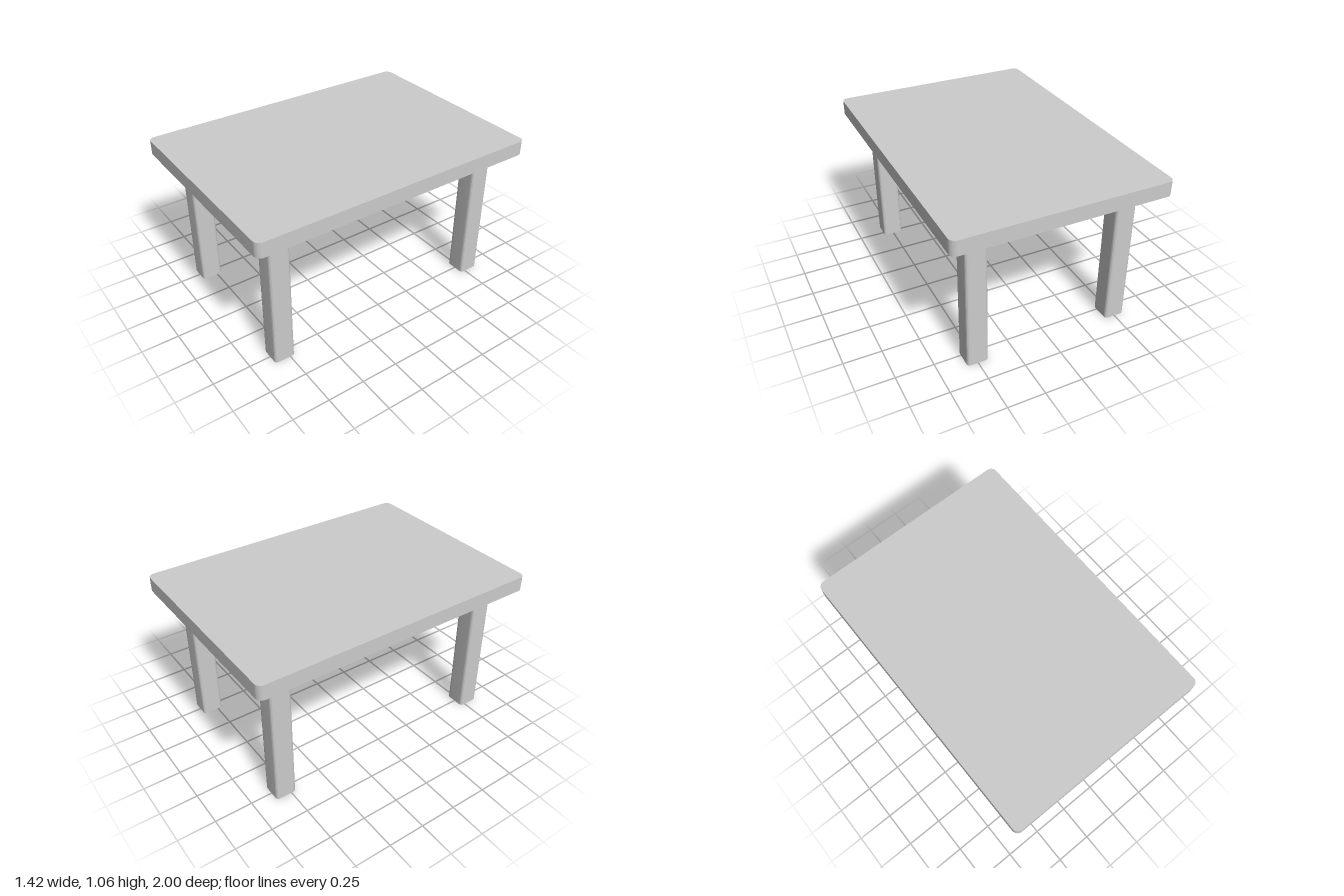
import * as THREE from 'three';
import { toCreasedNormals } from 'three/addons/utils/BufferGeometryUtils.js';

const material = new THREE.MeshStandardMaterial({ color: 0xcccccc });

// Upright slab with rounded vertical edges, spanning y0 to y1
function roundedSlab(name, width, depth, radius, y0, y1) {
  const x = width / 2 - radius, z = depth / 2 - radius;
  const shape = new THREE.Shape();
  shape.absarc(x, z, radius, 0, Math.PI / 2);
  shape.absarc(-x, z, radius, Math.PI / 2, Math.PI);
  shape.absarc(-x, -z, radius, Math.PI, Math.PI * 1.5);
  shape.absarc(x, -z, radius, Math.PI * 1.5, Math.PI * 2);
  shape.closePath();
  const geometry = new THREE.ExtrudeGeometry(shape, { depth: y1 - y0, bevelEnabled: false, curveSegments: 8 });
  geometry.rotateX(-Math.PI / 2).translate(0, y0, 0);
  const mesh = new THREE.Mesh(toCreasedNormals(geometry, 0.6), material);
  mesh.name = name;
  return mesh;
}

export function createModel() {
  const group = new THREE.Group();
  group.name = 'table';

  const width = 1.14, depth = 1.71, legSize = 0.14, edge = 0.02;
  const apronBottom = 0.89, topBottom = 0.96, height = 1.06;

  // Top and the solid block under it
  group.add(roundedSlab('tabletop', 1.425, 2, 0.042, topBottom, height));
  group.add(roundedSlab('apron', width, depth, edge, apronBottom, topBottom));

  // Four legs flush with the corners of the apron
  for (const sx of [-1, 1]) {
    for (const sz of [-1, 1]) {
      const name = (sz > 0 ? 'front' : 'back') + (sx > 0 ? 'Left' : 'Right') + 'Leg';
      const leg = roundedSlab(name, legSize, legSize, edge, 0, apronBottom);
      leg.position.set(sx * (width - legSize) / 2, 0, sz * (depth - legSize) / 2);
      group.add(leg);
    }
  }
  return group;
}
